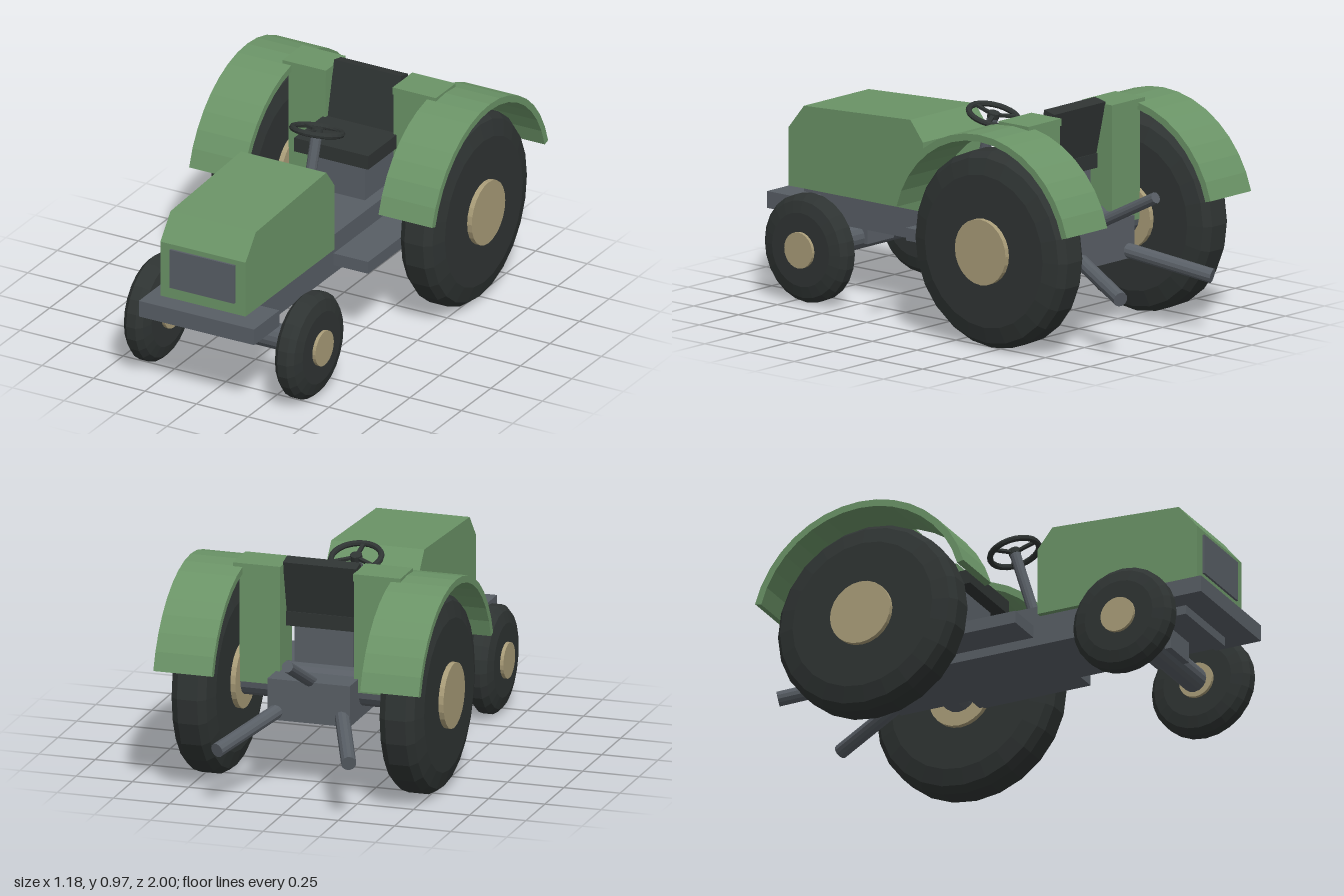
import * as THREE from 'three';

const mat = (color) => new THREE.MeshStandardMaterial({ color, flatShading: true });

export function createModel() {
  const model = new THREE.Group();
  const green = mat(0x6b9467), grey = mat(0x585e65), black = mat(0x2f3433), tan = mat(0xa99c78);

  const add = (name, geo, material, parent = model) => {
    const mesh = new THREE.Mesh(geo, material);
    mesh.name = name;
    parent.add(mesh);
    return mesh;
  };
  // Box given by its limits on each axis
  const box = (name, material, [x0, x1], [y0, y1], [z0, z1]) =>
    add(name, new THREE.BoxGeometry(x1 - x0, y1 - y0, z1 - z0)
      .translate((x0 + x1) / 2, (y0 + y1) / 2, (z0 + z1) / 2), material);
  // Round bar between two points
  const rod = (name, material, from, to, r, sides = 12) => {
    const a = new THREE.Vector3(...from), b = new THREE.Vector3(...to);
    const m = add(name, new THREE.CylinderGeometry(r, r, a.distanceTo(b), sides), material);
    m.position.copy(a).lerp(b, 0.5);
    m.quaternion.setFromUnitVectors(new THREE.Vector3(0, 1, 0), b.sub(a).normalize());
    return m;
  };
  // Side profile of [z, y] points, extruded across x and centred
  const acrossX = (points, width) => {
    const shape = new THREE.Shape(points.map(([z, y]) => new THREE.Vector2(z, y)));
    return new THREE.ExtrudeGeometry(shape, { depth: width, bevelEnabled: false })
      .translate(0, 0, -width / 2).rotateY(-Math.PI / 2);
  };
  // Tyre profile: [radius, half width] from sidewall to tread, mirrored
  const wheel = (name, x, y, z, profile, hubR, hubWidth) => {
    const g = new THREE.Group();
    g.name = name;
    g.position.set(x, y, z);
    const half = [[0, profile[0][1]], ...profile];
    const pts = [...half.map(([r, h]) => [r, -h]), ...half.reverse()];
    add('tyre', new THREE.LatheGeometry(pts.map((p) => new THREE.Vector2(...p)), 24)
      .rotateZ(Math.PI / 2), black, g);
    add('hub', new THREE.CylinderGeometry(hubR, hubR, hubWidth, 24).rotateZ(Math.PI / 2), tan, g);
    model.add(g);
  };

  // Chassis
  box('frontFrame', grey, [-0.183, 0.183], [0.305, 0.438], [0.19, 0.88]);
  box('rearFrame', grey, [-0.183, 0.183], [0.305, 0.485], [-0.65, 0.19]);
  box('footboard', grey, [-0.352, 0.352], [0.345, 0.4], [-0.36, 0.16]);
  box('frontBumper', grey, [-0.28, 0.28], [0.345, 0.418], [0.785, 1]);
  box('axleMount', grey, [-0.085, 0.085], [0.213, 0.306], [0.61, 0.76]);
  rod('frontAxle', grey, [-0.31, 0.237, 0.68], [0.31, 0.237, 0.68], 0.056, 16);
  rod('rearAxle', grey, [-0.37, 0.428, -0.457], [0.37, 0.428, -0.457], 0.08, 16);

  // Hood and grille
  add('hood', acrossX([[0.945, 0.438], [0.945, 0.69], [0.858, 0.796], [0.262, 0.826],
    [0.192, 0.738], [0.192, 0.438]], 0.414), green);
  box('grille', grey, [-0.157, 0.157], [0.49, 0.668], [0.92, 0.955]);

  // Seat
  box('seatPedestal', grey, [-0.13, 0.13], [0.48, 0.67], [-0.45, -0.2]);
  box('seatCushion', black, [-0.18, 0.18], [0.665, 0.728], [-0.46, -0.14]);
  const back = add('seatBackrest', new THREE.BoxGeometry(0.326, 0.3, 0.06), black);
  back.position.set(0, 0.817, -0.445);
  back.rotation.x = -0.22;

  // Steering column and wheel
  rod('steeringColumn', grey, [0, 0.47, 0.095], [0, 0.85, -0.02], 0.024);
  const steering = new THREE.Group();
  steering.name = 'steeringWheel';
  steering.position.set(0, 0.855, -0.022);
  steering.rotation.x = -0.29;
  model.add(steering);
  add('rim', new THREE.TorusGeometry(0.107, 0.013, 8, 24).rotateX(Math.PI / 2), black, steering);
  add('steeringHub', new THREE.CylinderGeometry(0.026, 0.026, 0.025, 12), black, steering);
  for (let i = 0; i < 3; i++) {
    add('spoke', new THREE.BoxGeometry(0.016, 0.012, 0.105).translate(0, 0, 0.053)
      .rotateY(i * Math.PI * 2 / 3), black, steering);
  }

  // Fender arc around the rear axle
  const arc = [];
  const steps = 16, start = 0.27;
  for (let i = 0; i <= steps; i++) arc.push([0.51, start + (Math.PI - 2 * start) * i / steps]);
  const inner = arc.map(([, a]) => [0.48, a]).reverse();
  const fenderProfile = [...arc, ...inner]
    .map(([r, a]) => [-0.457 + r * Math.cos(a), 0.428 + r * Math.sin(a)]);

  // Mirrored parts
  for (const s of [1, -1]) {
    const side = s > 0 ? 'left' : 'right';
    const span = (a, b) => (s > 0 ? [a, b] : [-b, -a]);
    wheel(side + 'RearWheel', s * 0.4625, 0.428, -0.457,
      [[0.33, 0.0975], [0.4, 0.077], [0.425, 0.045]], 0.142, 0.24);
    wheel(side + 'FrontWheel', s * 0.367, 0.237, 0.685,
      [[0.16, 0.06], [0.21, 0.046], [0.233, 0.022]], 0.078, 0.15);
    add(side + 'Fender', acrossX(fenderProfile, 0.26), green).position.x = s * 0.46;
    box(side + 'FenderSupport', green, span(0.165, 0.345), [0.425, 0.925], [-0.54, -0.38]);
    box(side + 'SupportCap', green, span(0.162, 0.373), [0.915, 0.947], [-0.544, -0.377]);
    rod(side + 'LowerLiftArm', grey, [s * 0.13, 0.35, -0.6], [s * 0.293, 0.255, -0.99], 0.032);
  }
  rod('upperLink', grey, [0, 0.445, -0.55], [0, 0.635, -0.93], 0.025);

  return model;
}
